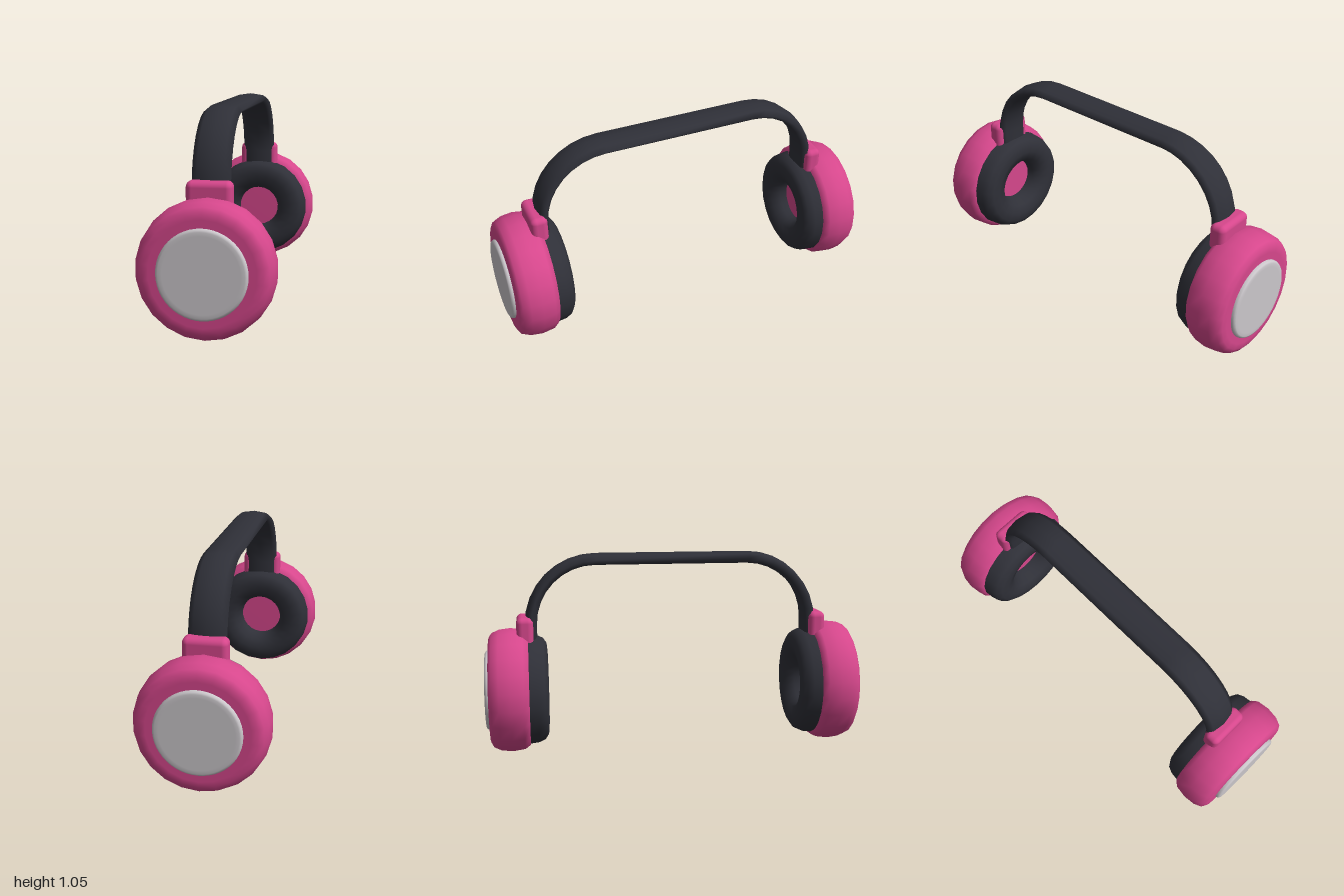
import * as THREE from 'three';
import { RoundedBoxGeometry } from 'three/addons/geometries/RoundedBoxGeometry.js';

const CUP_Y = 0.333;

function material(name, color) {
  const m = new THREE.MeshStandardMaterial({ color });
  m.name = name;
  return m;
}

// Turned part around the z axis; profile points are [radius, z]
function turned(name, profile, sides, mat) {
  const geo = new THREE.LatheGeometry(profile.map(([r, z]) => new THREE.Vector2(r, z)), sides);
  geo.rotateX(Math.PI / 2);
  const mesh = new THREE.Mesh(geo, mat);
  mesh.name = name;
  mesh.position.y = CUP_Y;
  return mesh;
}

// Oval section swept over an arch made of two quarter arcs and a straight top
function bandGeometry() {
  const path = [];
  const steps = 8, sides = 8, halfWidth = 0.093, halfThick = 0.032;
  const arcZ = 0.41, arcY = 0.68, radius = 0.344;
  path.push([0.55, arcZ + radius, 0]);
  for (let i = 0; i <= steps; i++) {
    const a = (i / steps) * Math.PI / 2;
    path.push([arcY + radius * Math.sin(a), arcZ + radius * Math.cos(a), a]);
  }
  const mirrored = path.map(([y, z, a]) => [y, -z, Math.PI - a]).reverse();
  const rings = [...path, ...mirrored];
  const positions = [], index = [];
  rings.forEach(([y, z, a], i) => {
    for (let j = 0; j < sides; j++) {
      const t = (j / sides) * Math.PI * 2;
      const out = halfThick * Math.sin(t);
      positions.push(halfWidth * Math.cos(t), y + out * Math.sin(a), z + out * Math.cos(a));
      if (i === 0) continue;
      const k = (j + 1) % sides;
      const p = (i - 1) * sides, q = i * sides;
      index.push(p + j, p + k, q + k, p + j, q + k, q + j);
    }
  });
  // Orient the faces outward: ring order runs from +z over the top to -z
  for (let i = 0; i < index.length; i += 3) {
    const v = n => new THREE.Vector3().fromArray(positions, index[i + n] * 3);
    const normal = v(1).sub(v(0)).cross(v(2).sub(v(0)));
    const ring = rings[Math.floor(index[i] / sides)];
    const away = v(0).add(v(1)).add(v(2)).divideScalar(3).sub(new THREE.Vector3(0, ring[0], ring[1]));
    const along = new THREE.Vector3(0, Math.cos(ring[2]), -Math.sin(ring[2]));
    away.addScaledVector(along, -away.dot(along));
    if (normal.dot(away) < 0) [index[i + 1], index[i + 2]] = [index[i + 2], index[i + 1]];
  }
  const geo = new THREE.BufferGeometry();
  geo.setAttribute('position', new THREE.Float32BufferAttribute(positions, 3));
  geo.setIndex(index);
  geo.computeVertexNormals();
  return geo;
}

export function createModel() {
  const pink = material('pink shell', 0xd6478c);
  const dark = material('dark padding', 0x2f3038);
  const silver = material('silver cap', 0xcbc7cb);
  const model = new THREE.Group();
  model.name = 'headphones';

  const band = new THREE.Mesh(bandGeometry(), dark);
  band.name = 'headband';
  model.add(band);

  // Two identical ear pieces facing each other
  for (const [name, angle] of [['frontEarpiece', 0], ['backEarpiece', Math.PI]]) {
    const ear = new THREE.Group();
    ear.name = name;
    ear.rotation.y = angle;

    ear.add(turned('cup', [
      [0, 0.768], [0.27, 0.768], [0.3, 0.772], [0.321, 0.8], [0.33, 0.865],
      [0.323, 0.925], [0.306, 0.963], [0.28, 0.978], [0.25, 0.98], [0, 0.98],
    ], 22, pink));

    ear.add(turned('earPad', [
      [0.118, 0.775], [0.123, 0.73], [0.15, 0.685], [0.2, 0.67],
      [0.245, 0.674], [0.273, 0.692], [0.288, 0.725], [0.294, 0.775],
    ], 22, dark));

    ear.add(turned('cap', [
      [0.212, 0.975], [0.212, 0.987], [0.207, 0.996], [0.198, 1], [0.18, 1], [0, 1],
    ], 48, silver));

    // Bracket gripping the end of the band
    const bracket = new THREE.Mesh(new RoundedBoxGeometry(0.22, 0.2, 0.088, 3, 0.03), pink);
    bracket.name = 'bracket';
    bracket.position.set(0, 0.63, 0.786);
    ear.add(bracket);

    model.add(ear);
  }
  return model;
}
